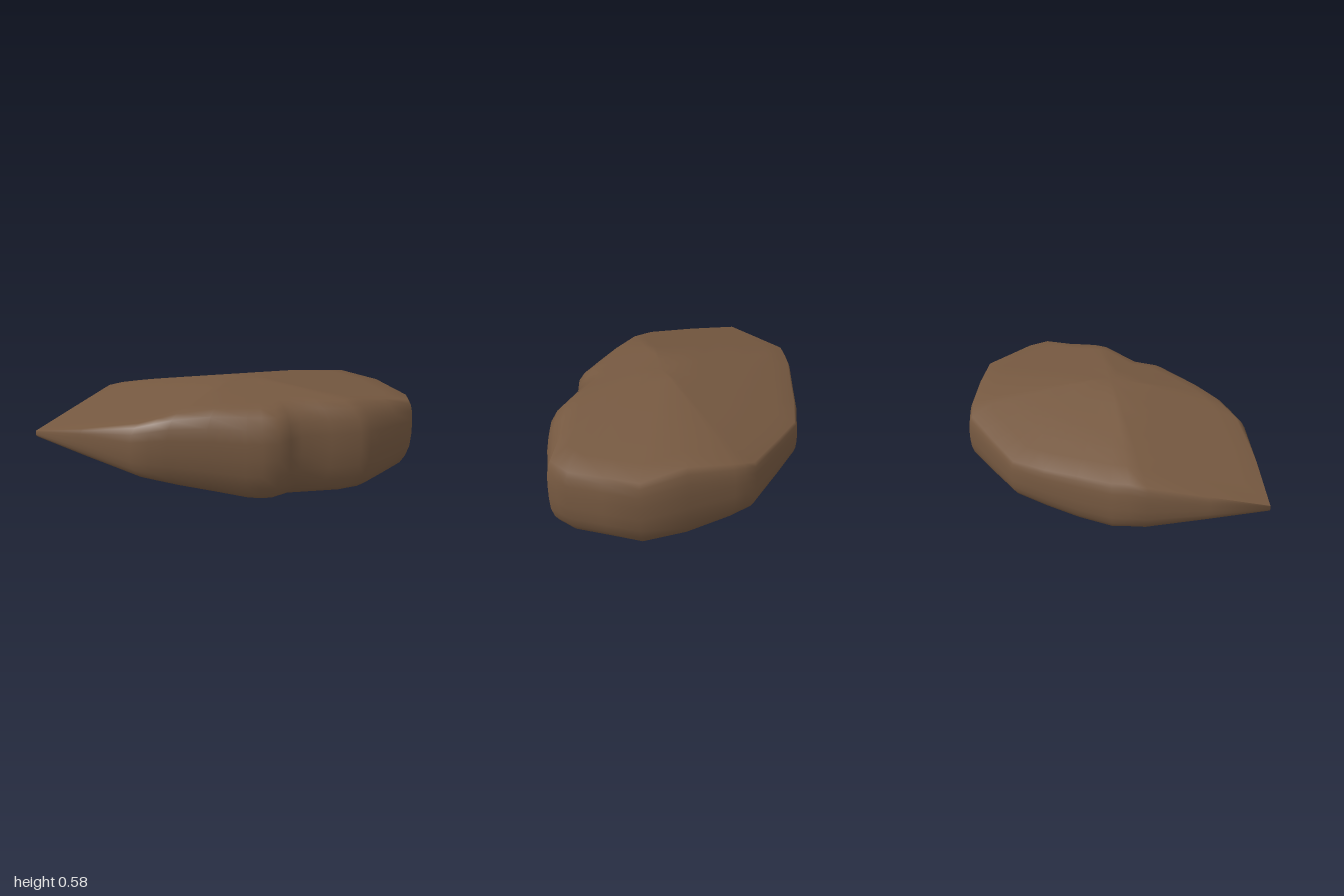
import * as THREE from 'three';

// Plan outline [x, z], anticlockwise from the left tip through the front
const OUTLINE = [
  [-1, 0.03], [-0.57, 0.44], [-0.4, 0.5], [-0.03, 0.59], [0.13, 0.615], [0.27, 0.545],
  [0.58, 0.56], [0.71, 0.51], [0.95, 0.385], [0.995, 0.27], [0.98, -0.08], [0.69, -0.44],
  [0.6, -0.52], [0.33, -0.58], [0.13, -0.62], [-0.06, -0.58], [-0.43, -0.47], [-0.59, -0.39],
];
const CX = 0.13, CZ = 0.12;

// Upper and lower faces are each cut by a few sloping planes
const topY = (x, z) => Math.min(
  0.345 + 0.255 * (x + 1), 0.585, 0.585 - 0.154 * (x - 0.19),
  0.585 + 0.265 * (z - 0.04), 0.495 + 0.33 * (z + 0.3), 0.585 - 0.2 * (z - 0.2));
const bottomY = (x, z) => Math.max(
  0, 0.315 - 0.255 * (x + 1), 0.06 - 0.18 * x, 0.005 + 0.065 * (x - 0.3),
  0.02 + 0.22 * (x - 0.53), 0.04 - 0.27 * (z + 0.07), 0.025 + 0.2 * (z - 0.37));

// Rounded side wall: [height fraction, share of the edge inset]
const WALL = [[0, 1], [0.06, 0.6], [0.17, 0.28], [0.32, 0.06], [0.5, 0],
  [0.68, 0.03], [0.82, 0.16], [0.93, 0.5], [1, 1]];
const RINGS = 7;

function stoneGeometry() {
  // Split every outline edge in two
  const rim = [];
  OUTLINE.forEach(([x, z], i) => {
    const [nx, nz] = OUTLINE[(i + 1) % OUTLINE.length];
    rim.push([x, z], [(x + nx) / 2, (z + nz) / 2]);
  });
  const n = rim.length, rows = [];

  // Rim point moved towards the middle by a distance
  const inset = ([x, z], d) => {
    const k = 1 - d / Math.hypot(x - CX, z - CZ);
    return [CX + (x - CX) * k, CZ + (z - CZ) * k];
  };
  const edges = rim.map((p) => {
    const thick = topY(...p) - bottomY(...p);
    const low = inset(p, thick * 0.24);
    const high = inset(p, thick * (p[1] > 0.4 ? 0.24 : 0.09));
    return { p, thick, low, high, topInset: thick * (p[1] > 0.4 ? 0.24 : 0.09) };
  });
  const faceRow = (key, height, s) => edges.map((e) => {
    const x = CX + (e[key][0] - CX) * s, z = CZ + (e[key][1] - CZ) * s;
    return [x, height(x, z), z];
  });

  // Underside outwards, wall upwards, top inwards
  for (let r = 0; r < RINGS; r++) rows.push(faceRow('low', bottomY, r / RINGS));
  for (const [t, k] of WALL) {
    rows.push(edges.map((e) => {
      const [x, z] = inset(e.p, k * (t < 0.5 ? e.thick * 0.24 : e.topInset));
      const y = THREE.MathUtils.lerp(bottomY(...e.low), topY(...e.high), t);
      return [x, y, z];
    }));
  }
  for (let r = RINGS - 1; r >= 0; r--) rows.push(faceRow('high', topY, r / RINGS));

  // One shared vertex at each pole keeps the shading smooth
  const last = rows.length - 1;
  const inner = rows.slice(1, last);
  const position = [...inner.flat(2), ...rows[0][0], ...rows[last][0]];
  const south = inner.length * n, north = south + 1;
  const id = (r, i) => (r < 0 ? south : r >= inner.length ? north : r * n + (i % n));
  const index = [];
  for (let r = -1; r < inner.length; r++) {
    for (let i = 0; i < n; i++) {
      const a = id(r, i), b = id(r, i + 1), c = id(r + 1, i + 1), d = id(r + 1, i);
      if (a !== b) index.push(a, b, d);
      if (c !== d) index.push(b, c, d);
    }
  }
  const g = new THREE.BufferGeometry();
  g.setAttribute('position', new THREE.Float32BufferAttribute(position, 3));
  g.setIndex(index);
  g.computeVertexNormals();
  return g;
}

export function createModel() {
  const group = new THREE.Group();
  group.name = 'rock';
  const brown = new THREE.MeshStandardMaterial({ color: 0x755840 });
  brown.name = 'brown stone';
  const stone = new THREE.Mesh(stoneGeometry(), brown);
  stone.name = 'stone';
  group.add(stone);
  return group;
}
